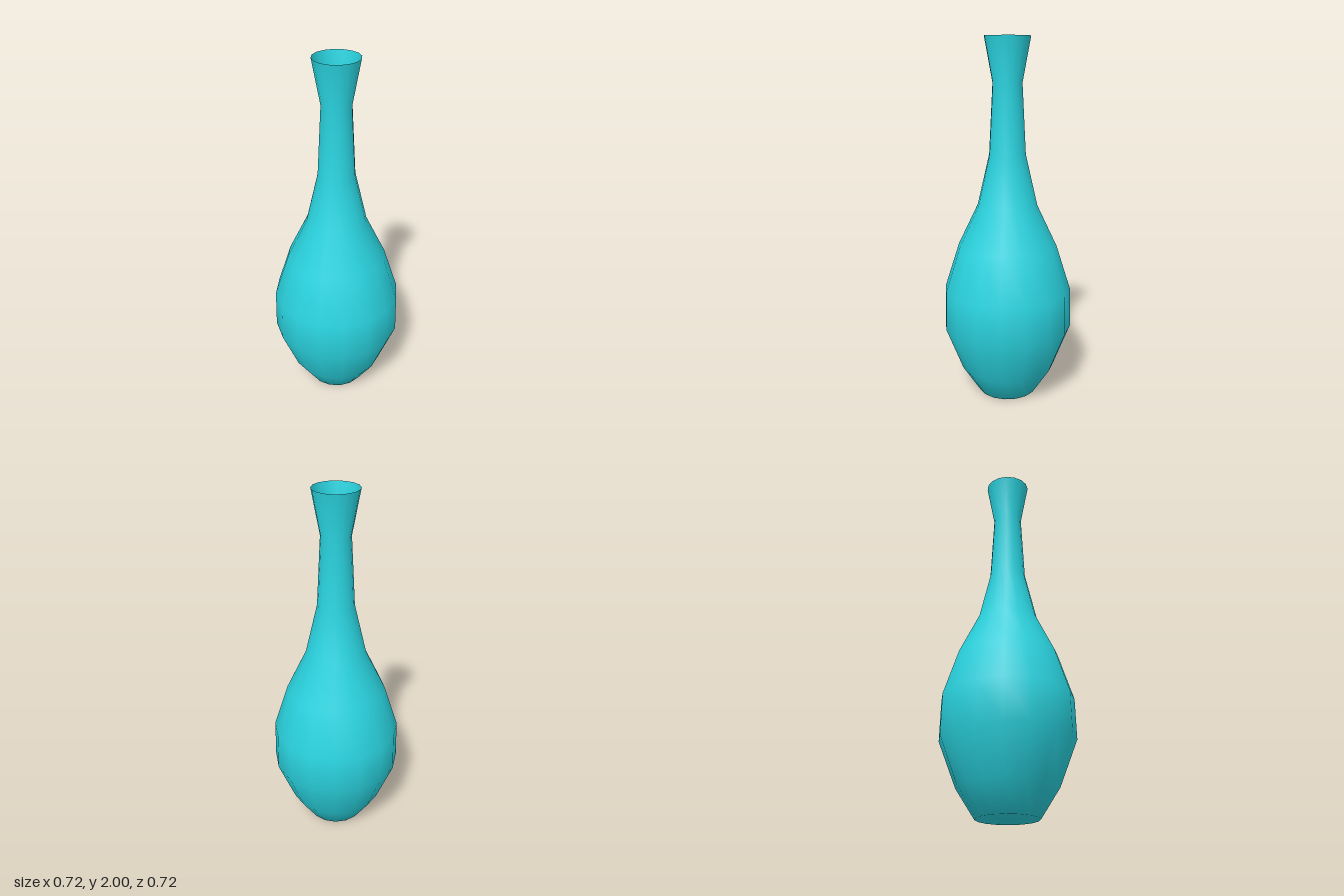
import * as THREE from 'three';

export function createModel() {
  const group = new THREE.Group();
  group.name = 'vase';

  // Radius and height, from the centre of the closed base up to the open lip
  const profile = [
    [0, 0], [0.165, 0], [0.265, 0.155], [0.36, 0.4], [0.355, 0.62],
    [0.275, 0.87], [0.165, 1.1], [0.1, 1.38], [0.08, 1.76], [0.124, 2],
  ].map(([r, y]) => new THREE.Vector2(r, y));

  // Thin, smooth-shaded shell with sixteen sides
  const material = new THREE.MeshStandardMaterial({ color: 0x2ad4e0, side: THREE.DoubleSide });
  const body = new THREE.Mesh(new THREE.LatheGeometry(profile, 16), material);
  body.name = 'vaseBody';
  group.add(body);

  return group;
}
